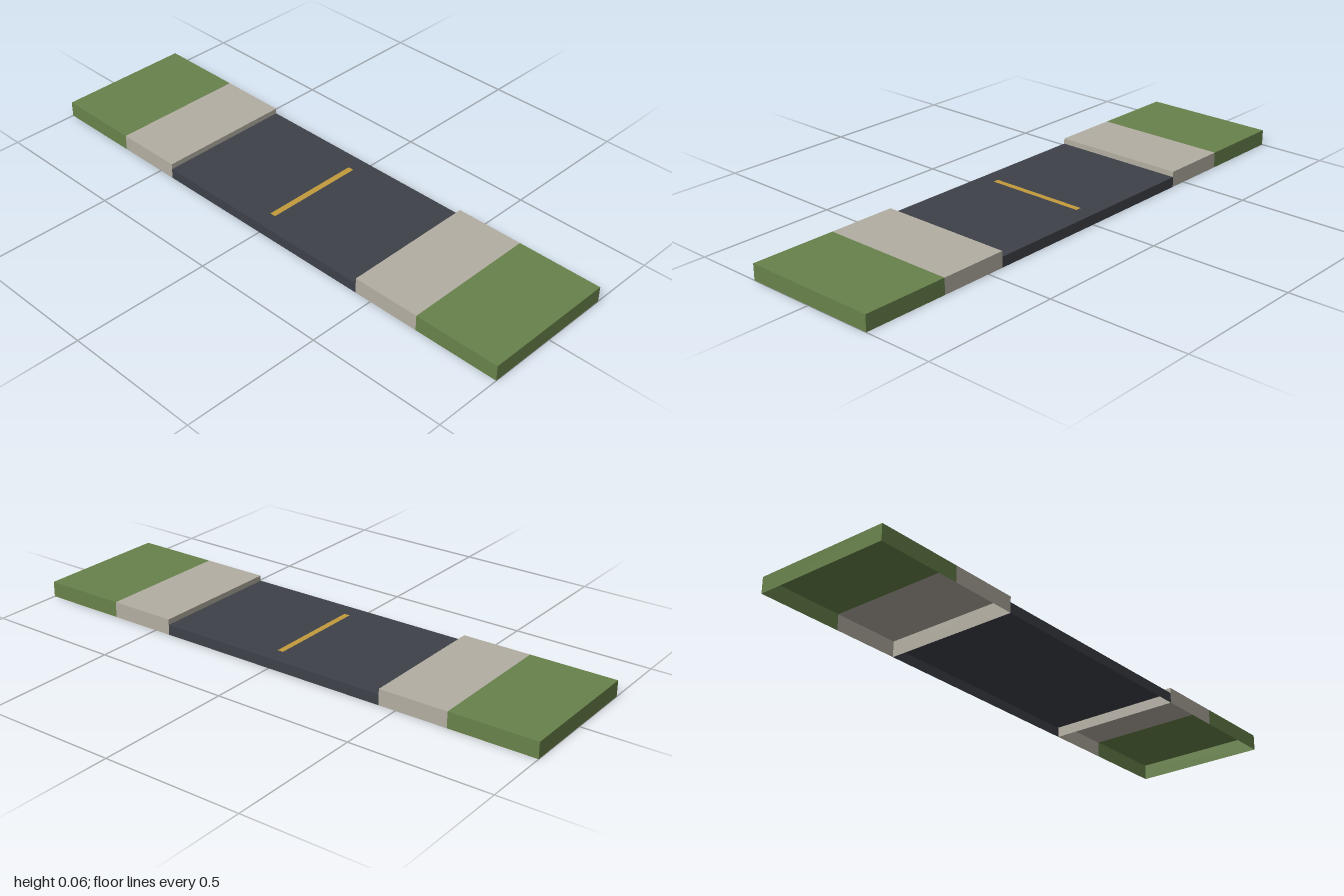
import * as THREE from 'three';
import { mergeGeometries } from 'three/addons/utils/BufferGeometryUtils.js';

const DEPTH = 0.5;
const ROAD_HALF = 0.4375, CURB_OUTER = 0.6875, END = 1;
const ROAD_H = 0.037, WALK_H = 0.057;

function material(name, color) {
  const m = new THREE.MeshStandardMaterial({ color, side: THREE.DoubleSide });
  m.name = name;
  return m;
}

// Open-bottomed slab: top, front and back, plus optional end walls at x0 and x1
function slab(x0, x1, height, wallAtX0 = false, wallAtX1 = false) {
  const width = x1 - x0, cx = (x0 + x1) / 2;
  const panels = [
    new THREE.PlaneGeometry(width, DEPTH).rotateX(-Math.PI / 2).translate(cx, height, 0),
    new THREE.PlaneGeometry(width, height).translate(cx, height / 2, DEPTH / 2),
    new THREE.PlaneGeometry(width, height).rotateY(Math.PI).translate(cx, height / 2, -DEPTH / 2),
  ];
  if (wallAtX0) panels.push(new THREE.PlaneGeometry(DEPTH, height).rotateY(-Math.PI / 2).translate(x0, height / 2, 0));
  if (wallAtX1) panels.push(new THREE.PlaneGeometry(DEPTH, height).rotateY(Math.PI / 2).translate(x1, height / 2, 0));
  return mergeGeometries(panels);
}

export function createModel() {
  const model = new THREE.Group();
  model.name = 'roadSection';

  const asphalt = material('asphalt', 0x3d4148);
  const concrete = material('concrete', 0xb3aea2);
  const grass = material('grass', 0x68824a);
  const paint = material('yellowPaint', 0xc49a3c);

  function add(name, geometry, mat) {
    const mesh = new THREE.Mesh(geometry, mat);
    mesh.name = name;
    model.add(mesh);
  }

  // Sunken carriageway
  add('road', slab(-ROAD_HALF, ROAD_HALF, ROAD_H), asphalt);

  // Raised pavements with a kerb wall facing the road
  add('leftPavement', slab(ROAD_HALF, CURB_OUTER, WALK_H, true, false), concrete);
  add('rightPavement', slab(-CURB_OUTER, -ROAD_HALF, WALK_H, false, true), concrete);

  // Grass verges with outer end walls
  add('leftVerge', slab(CURB_OUTER, END, WALK_H, false, true), grass);
  add('rightVerge', slab(-END, -CURB_OUTER, WALK_H, true, false), grass);

  // Painted centre line
  const line = new THREE.PlaneGeometry(0.022, 0.375).rotateX(-Math.PI / 2);
  add('centreLine', line.translate(0, ROAD_H + 0.0015, 0), paint);

  return model;
}
